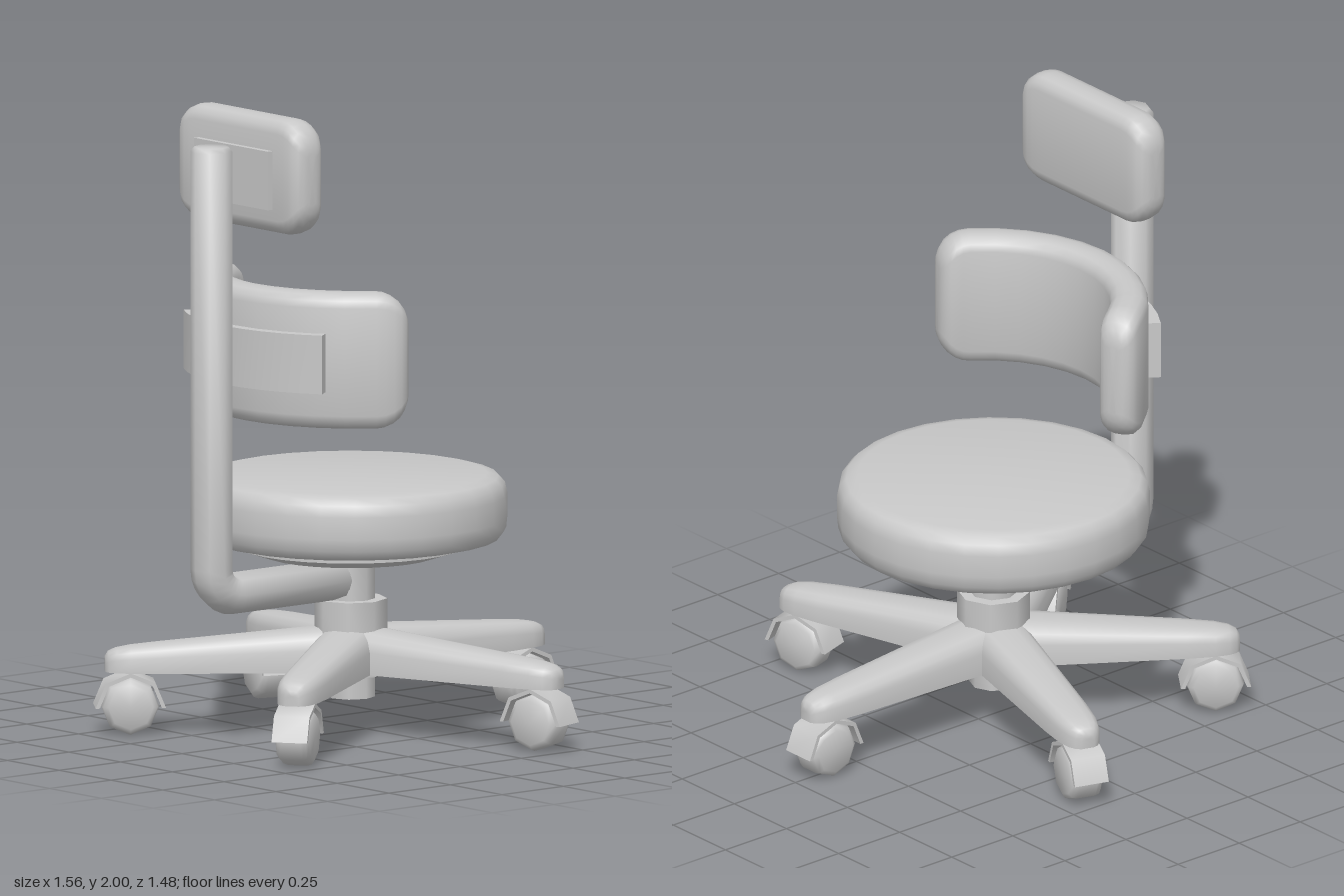
import * as THREE from 'three';
import { toCreasedNormals } from 'three/addons/utils/BufferGeometryUtils.js';

const CENTER_Z = 0.062;

// Skin closed rings of points; each ring turns right-handed about the path direction.
function loft(rings, crease = 1.1) {
  const n = rings[0].length, pos = [], idx = [];
  rings.forEach(r => r.forEach(p => pos.push(...p)));
  for (let i = 0; i < rings.length - 1; i++) {
    for (let j = 0; j < n; j++) {
      const a = i * n + j, b = i * n + (j + 1) % n;
      idx.push(a, b, a + n, b, b + n, a + n);
    }
  }
  [0, rings.length - 1].forEach((i, end) => {
    const c = pos.length / 3;
    pos.push(...[0, 1, 2].map(k => rings[i].reduce((s, p) => s + p[k], 0) / n));
    for (let j = 0; j < n; j++) {
      const a = i * n + j, b = i * n + (j + 1) % n;
      if (end) idx.push(c, a, b);
      else idx.push(c, b, a);
    }
  });
  const g = new THREE.BufferGeometry();
  g.setAttribute('position', new THREE.Float32BufferAttribute(pos, 3));
  g.setIndex(idx);
  return toCreasedNormals(g, crease);
}

function lathe(profile, sides) {
  const pts = profile.map(p => new THREE.Vector2(...p));
  return toCreasedNormals(new THREE.LatheGeometry(pts, sides), 0.9);
}

// Cushion with rounded corners and edges, wrapped around a vertical axis when bend is set.
function cushion({ L, H, T, corner, y, z, bend }) {
  const edge = T * 0.75, half = [];
  for (let i = 0; i <= 6; i++) {
    const a = i / 6 * Math.PI / 2;
    const s = L - corner + corner * Math.sin(a);
    const over = Math.max(0, Math.min(1, (s - L + edge) / edge));
    half.push([s, H - corner + corner * Math.cos(a), T - edge + edge * Math.sqrt(1 - over * over)]);
  }
  const middle = [], steps = 10, inner = L - corner;
  for (let i = 1; i < steps; i++) middle.push([-inner + 2 * inner * i / steps, H, T]);
  const stations = [...half.map(([s, h, t]) => [-s, h, t]).reverse(), ...middle, ...half];
  return loft(stations.map(([s, h, t]) => {
    const r = Math.min(edge, t * 0.9), ring = [];
    for (let q = 0; q < 4; q++) {
      const sy = q === 0 || q === 3 ? 1 : -1, sz = q < 2 ? 1 : -1;
      for (let k = 0; k <= 3; k++) {
        const a = (q + k / 3) * Math.PI / 2;
        const py = y + sy * (h - r) + r * Math.cos(a);
        const off = sz * (t - r) + r * Math.sin(a);
        ring.push(bend
          ? [(bend + off) * Math.sin(s / bend), py, z + (bend + off) * Math.cos(s / bend)]
          : [s, py, z + off]);
      }
    }
    return ring;
  }));
}

// Flat-bottomed leg with a rounded top, running along +z.
function legGeometry() {
  const sections = [[0, 0.095, 0.335], [0.1, 0.093, 0.33], [0.6, 0.073, 0.287],
    [0.69, 0.065, 0.278], [0.735, 0.053, 0.27], [0.758, 0.038, 0.26], [0.768, 0.022, 0.245]];
  const base = 0.198;
  return loft(sections.map(([z, w, top]) => {
    const h = top - base;
    return [[1, 0], [1, 0.55], [0.88, 0.8], [0.65, 0.95], [0.3, 1],
      [-0.3, 1], [-0.65, 0.95], [-0.88, 0.8], [-1, 0.55], [-1, 0]]
      .map(([x, y]) => [x * w, base + y * h, z]);
  }));
}

// Caster hood: half ring.
function hoodGeometry() {
  const arc = (r, i) => new THREE.Vector2(r * Math.cos(i * Math.PI / 4), r * Math.sin(i * Math.PI / 4));
  const steps = [0, 1, 2, 3, 4];
  const shape = new THREE.Shape([...steps.map(i => arc(0.11, i)), ...steps.map(i => arc(0.097, 4 - i))]);
  const ring = new THREE.ExtrudeGeometry(shape, { depth: 0.114, bevelEnabled: false });
  return toCreasedNormals(ring.translate(0, 0, -0.057).rotateY(Math.PI / 2), 0.9);
}

// L-shaped post: horizontal arm, tight bend, upright, bevelled ends.
function postGeometry() {
  const Z = 0.63, Y = 0.485, R = 0.085;
  const stations = [[0.1, Y, 0, 0.052], [0.113, Y, 0, 0.066]];
  for (let i = 0; i <= 6; i++) {
    const a = i / 6 * Math.PI / 2;
    stations.push([Z - R + R * Math.sin(a), Y + R - R * Math.cos(a), a, 0.066]);
  }
  stations.push([Z, 1.888, Math.PI / 2, 0.066], [Z, 1.903, Math.PI / 2, 0.054]);
  return loft(stations.map(([z, y, a, r]) => Array.from({ length: 8 }, (_, j) => {
    const t = j * Math.PI / 4, v = r * Math.sin(t);
    return [r * Math.cos(t), y + v * Math.cos(a), z - v * Math.sin(a)];
  })));
}

// Curved mounting plate behind the backrest.
function curvedPlateGeometry() {
  const R = 0.57, end = 0.628, rings = [];
  for (let i = 0; i <= 10; i++) {
    const a = -end + 2 * end * i / 10, s = Math.sin(a), c = Math.cos(a);
    rings.push([[1.33, R], [1.145, R], [1.145, R - 0.05], [1.33, R - 0.05]]
      .map(([y, r]) => [r * s, y, r * c]));
  }
  return loft(rings);
}

export function createModel() {
  const model = new THREE.Group();
  model.name = 'swivelChair';
  const grey = new THREE.MeshStandardMaterial({ color: 0xc8c8c8 });
  grey.name = 'grey';
  const add = (name, geometry, parent = model) => {
    const mesh = new THREE.Mesh(geometry, grey);
    mesh.name = name;
    parent.add(mesh);
    return mesh;
  };

  // Seat and central column
  add('seat', lathe([[0, 0.605], [0.42, 0.605], [0.463, 0.615], [0.484, 0.642], [0.488, 0.68],
    [0.488, 0.75], [0.48, 0.785], [0.46, 0.806], [0.425, 0.815], [0, 0.815]], 28)).position.z = CENTER_Z;
  add('seatPan', lathe([[0, 0.557], [0.27, 0.557], [0.355, 0.585], [0.355, 0.61], [0, 0.61]], 28)).position.z = CENTER_Z;
  add('column', lathe([[0, 0.11], [0.076, 0.11], [0.076, 0.56], [0, 0.56]], 8)).position.z = CENTER_Z;
  add('hub', lathe([[0, 0.183], [0.114, 0.183], [0.114, 0.42], [0, 0.42]], 8)).position.z = CENTER_Z;

  // Backrest, headrest and their support
  add('post', postGeometry());
  add('backrest', cushion({ L: 0.54, H: 0.215, T: 0.06, corner: 0.1, y: 1.24, z: 0.025, bend: 0.452 }));
  add('backrestPlate', curvedPlateGeometry());
  add('headrest', cushion({ L: 0.3, H: 0.182, T: 0.059, corner: 0.1, y: 1.818, z: 0.472 }));
  add('headrestPlate', new THREE.BoxGeometry(0.356, 0.185, 0.035)).position.set(0, 1.808, 0.533);

  // Five legs with casters
  const leg = legGeometry(), hood = hoodGeometry();
  const wheel = lathe([[0, -0.055], [0.07, -0.055], [0.085, -0.045], [0.09, -0.03],
    [0.09, 0.03], [0.085, 0.045], [0.07, 0.055], [0, 0.055]], 8).rotateZ(Math.PI / 2);
  for (let i = 0; i < 5; i++) {
    const arm = new THREE.Group();
    arm.name = 'legWithCaster';
    arm.position.z = CENTER_Z;
    arm.rotation.y = Math.PI + i * Math.PI * 2 / 5;
    add('leg', leg, arm);
    add('casterWheel', wheel, arm).position.set(0, 0.09, 0.691);
    add('casterHood', hood, arm).position.set(0, 0.088, 0.691);
    model.add(arm);
  }
  return model;
}
